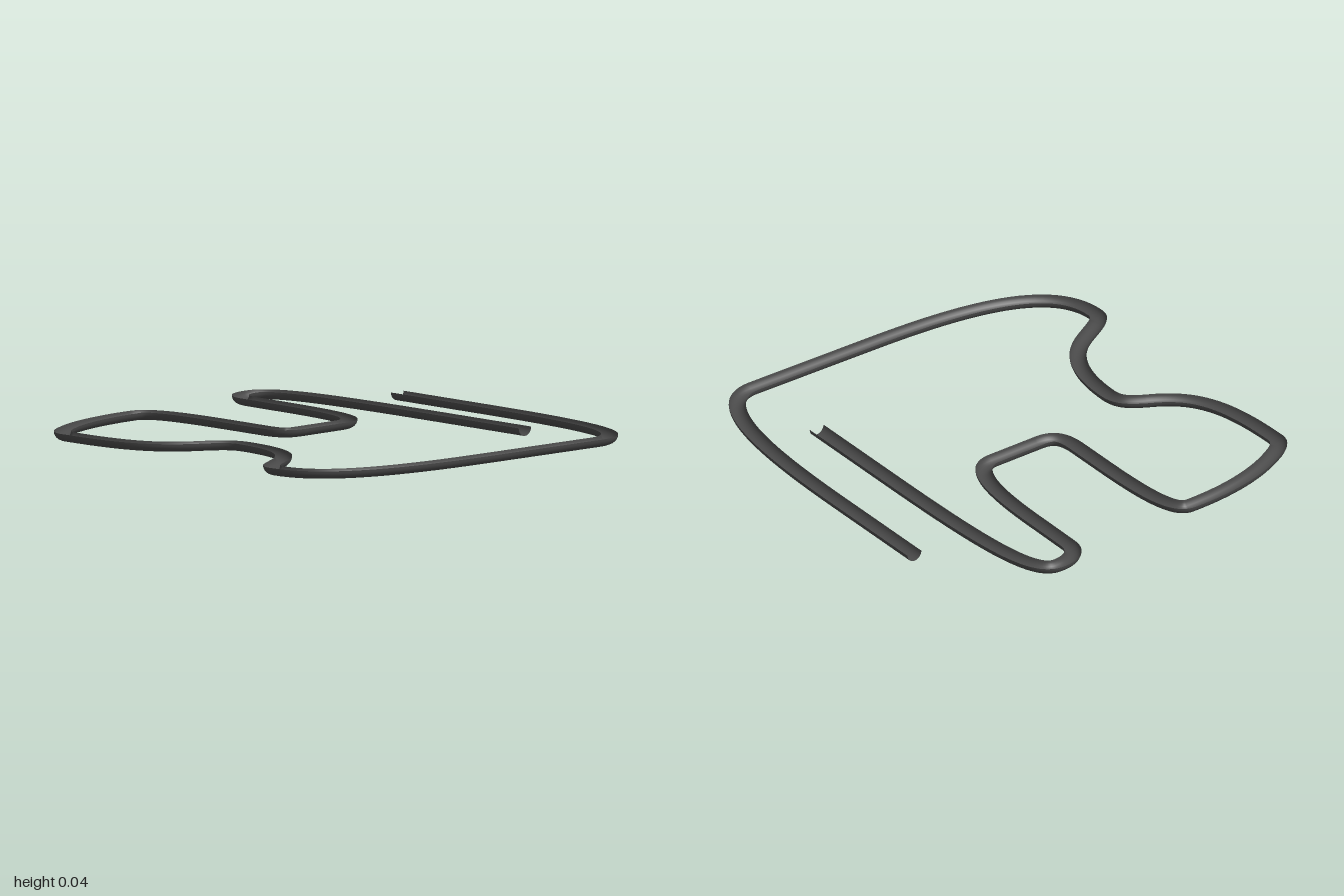
import * as THREE from 'three';

const RADIUS = 0.036;
const ARC_STEPS = 12;

// Plan of the track's centre line (x, z)
function trackPath() {
  const p = new THREE.Path();
  p.moveTo(-0.54, -0.893);
  p.lineTo(0, -0.893);
  // back right corner and long right side
  p.bezierCurveTo(0.6, -0.893, 0.962, -0.84, 0.962, -0.62);
  p.lineTo(0.962, 0);
  p.bezierCurveTo(0.962, 0.5, 0.9, 0.885, 0.6, 0.885);
  // front waves
  p.bezierCurveTo(0.55, 0.885, 0.53, 0.84, 0.49, 0.775);
  p.bezierCurveTo(0.43, 0.67, 0.34, 0.535, 0.04, 0.535);
  p.bezierCurveTo(-0.03, 0.535, -0.06, 0.57, -0.1, 0.645);
  p.bezierCurveTo(-0.18, 0.81, -0.3, 0.885, -0.67, 0.885);
  // front left lobe
  p.bezierCurveTo(-0.71, 0.885, -0.74, 0.855, -0.775, 0.79);
  p.bezierCurveTo(-0.85, 0.66, -0.895, 0.48, -0.895, 0.28);
  p.bezierCurveTo(-0.895, 0.19, -0.7, 0.175, -0.4, 0.175);
  // inner notch
  p.lineTo(-0.24, 0.175);
  p.bezierCurveTo(-0.13, 0.175, -0.105, 0.145, -0.105, 0.08);
  p.lineTo(-0.11, -0.16);
  p.bezierCurveTo(-0.11, -0.29, -0.3, -0.325, -0.65, -0.325);
  p.lineTo(-0.85, -0.327);
  // hairpin and final straight
  p.bezierCurveTo(-0.93, -0.327, -0.962, -0.39, -0.962, -0.455);
  p.bezierCurveTo(-0.962, -0.58, -0.7, -0.61, 0, -0.61);
  p.lineTo(0.535, -0.61);
  return p;
}

// Sweeps an open half circle, hollow side up, along the path
function channelGeometry(path) {
  const positions = [], indices = [];
  let rings = 0;
  const addRing = (curve, t) => {
    const c = curve.getPoint(t), d = curve.getTangent(t);
    for (let j = 0; j <= ARC_STEPS; j++) {
      const a = (j / ARC_STEPS) * Math.PI;
      const side = Math.cos(a) * RADIUS;
      positions.push(c.x - d.y * side, RADIUS * (1 - Math.sin(a)), c.y + d.x * side);
    }
    rings++;
  };
  path.curves.forEach((curve, k) => {
    const steps = curve.isLineCurve ? 4 : 28;
    for (let i = k ? 1 : 0; i <= steps; i++) addRing(curve, i / steps);
  });
  const row = ARC_STEPS + 1;
  for (let i = 0; i < rings - 1; i++) {
    for (let j = 0; j < ARC_STEPS; j++) {
      const a = i * row + j, b = a + row;
      indices.push(a, b, a + 1, b, b + 1, a + 1);
    }
  }
  const geometry = new THREE.BufferGeometry();
  geometry.setAttribute('position', new THREE.Float32BufferAttribute(positions, 3));
  geometry.setIndex(indices);
  geometry.computeVertexNormals();
  return geometry;
}

export function createModel() {
  const group = new THREE.Group();
  group.name = 'channelTrack';
  const material = new THREE.MeshStandardMaterial({ color: 0x4a4a4a, side: THREE.DoubleSide });
  material.name = 'dark grey';
  const channel = new THREE.Mesh(channelGeometry(trackPath()), material);
  channel.name = 'halfPipeChannel';
  group.add(channel);
  return group;
}
